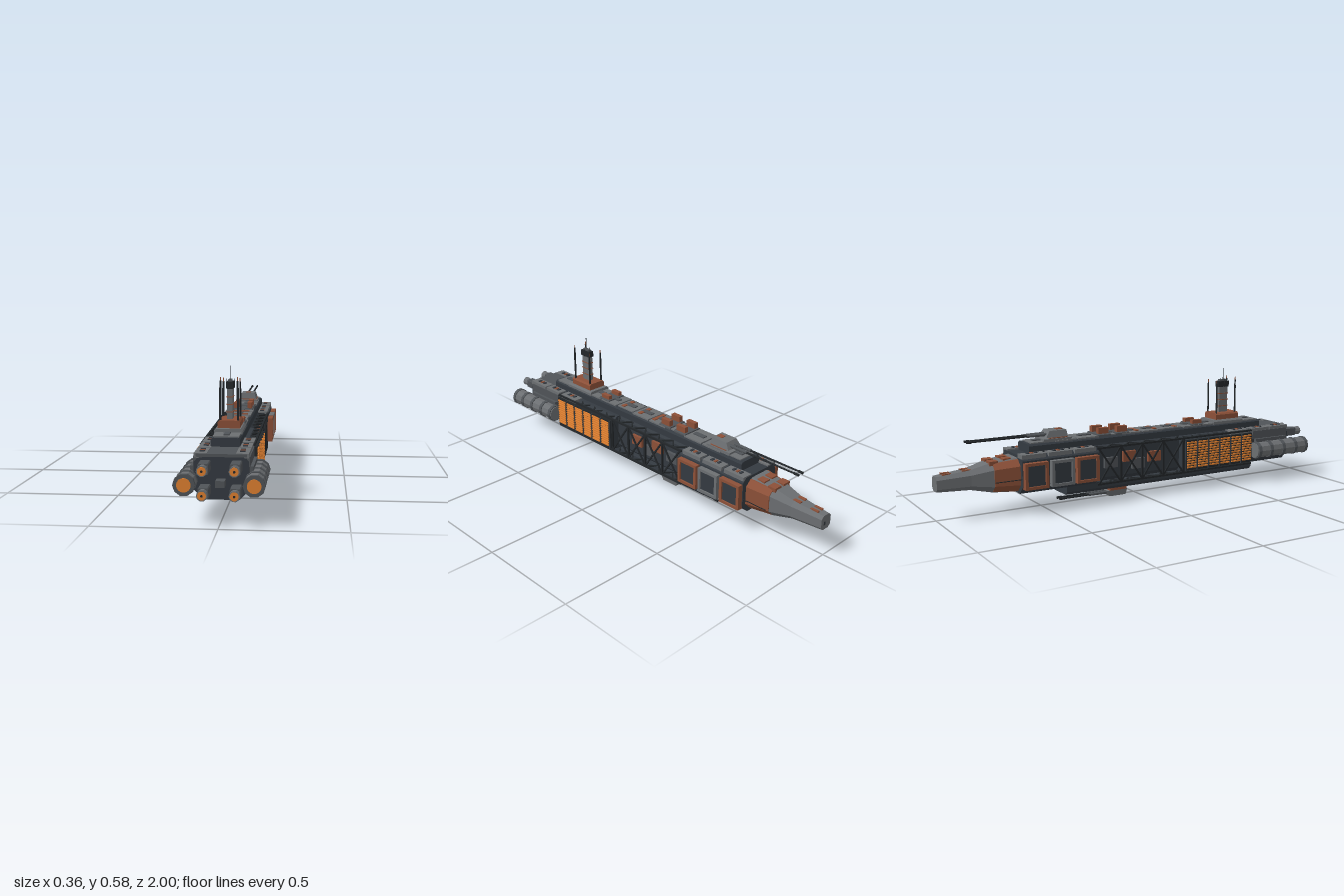
import * as THREE from 'three';

const mat = (color) => new THREE.MeshStandardMaterial({ color, flatShading: true, side: THREE.DoubleSide });
const DARK = mat(0x343a41), BLACK = mat(0x23272a), GREY = mat(0x6c6f72), MID = mat(0x505458);
const RUST = mat(0x8c5038), GLOW = mat(0xe08030);

function add(parent, name, geo, material, x = 0, y = 0, z = 0) {
  const m = new THREE.Mesh(geo, material);
  m.name = name;
  m.position.set(x, y, z);
  parent.add(m);
  return m;
}

// Box given by its extents
function box(parent, name, material, x0, x1, y0, y1, z0, z1) {
  const g = new THREE.BoxGeometry(Math.abs(x1 - x0), Math.abs(y1 - y0), Math.abs(z1 - z0));
  return add(parent, name, g, material, (x0 + x1) / 2, (y0 + y1) / 2, (z0 + z1) / 2);
}

// Cylinder lying along z
function tube(parent, name, material, r0, r1, x, y, z0, z1, sides = 8) {
  const g = new THREE.CylinderGeometry(r1, r0, z1 - z0, sides);
  g.rotateY(Math.PI / sides).rotateX(Math.PI / 2);
  return add(parent, name, g, material, x, y, (z0 + z1) / 2);
}

// Upright rod
function rod(parent, name, material, r, x, y0, y1, z) {
  return add(parent, name, new THREE.CylinderGeometry(r, r, y1 - y0, 6), material, x, (y0 + y1) / 2, z);
}

// Square beam between two points
function beam(parent, name, material, a, b, t = 0.007) {
  const p = new THREE.Vector3(...a), q = new THREE.Vector3(...b);
  const m = add(parent, name, new THREE.BoxGeometry(t, t, p.distanceTo(q)), material);
  m.position.copy(p).lerp(q, 0.5);
  m.lookAt(q);
  return m;
}

// Hull through chamfered sections [z, halfWidth, bottom, top, lowerCut, upperCut], from high z to low z
function loft(parent, name, material, sections) {
  const pos = [], idx = [];
  for (const [z, w, b, t, c, d] of sections) {
    for (const [x, y] of [[w - c, b], [w, b + c], [w, t - d], [w - d, t], [d - w, t], [-w, t - d], [-w, b + c], [c - w, b]]) pos.push(x, y, z);
  }
  const last = (sections.length - 1) * 8;
  for (let s = 0; s < last; s += 8) {
    for (let i = 0; i < 8; i++) {
      const j = (i + 1) % 8;
      idx.push(s + i, s + 8 + i, s + 8 + j, s + i, s + 8 + j, s + j);
    }
  }
  for (let i = 1; i < 7; i++) idx.push(0, i, i + 1, last, last + i + 1, last + i);
  const g = new THREE.BufferGeometry();
  g.setAttribute('position', new THREE.Float32BufferAttribute(pos, 3));
  g.setIndex(idx);
  return add(parent, name, g.toNonIndexed(), material).geometry.computeVertexNormals();
}

// Gun turret with twin barrels pointing to -z; flip = -1 hangs it upside down
function turret(parent, name, y, z, length, flip) {
  const t = new THREE.Group();
  t.name = name;
  t.position.set(0, y, z);
  box(t, 'turretRing', RUST, -0.045, 0.045, -0.012 * flip, 0.004 * flip, -0.04, 0.05);
  const g = new THREE.BoxGeometry(0.084, 0.03, 0.11), p = g.attributes.position;
  for (let i = 0; i < p.count; i++) {
    if (p.getY(i) * flip > 0) p.setXYZ(i, p.getX(i) * 0.8, p.getY(i), p.getZ(i) < 0 ? -0.035 : 0.05);
  }
  add(t, 'turretHouse', g, GREY, 0, 0.019 * flip, 0);
  box(t, 'turretHatch', RUST, -0.012, 0.012, 0.03 * flip, 0.037 * flip, 0.01, 0.04);
  for (const x of [-0.014, 0.014]) {
    tube(t, 'barrelSleeve', MID, 0.007, 0.008, x, 0.016 * flip, -0.14, -0.04);
    tube(t, 'barrel', BLACK, 0.004, 0.005, x, 0.016 * flip, -length, -0.1);
    tube(t, 'muzzle', BLACK, 0.006, 0.006, x, 0.016 * flip, -length, -length + 0.025);
  }
  parent.add(t);
}

export function createModel() {
  const ship = new THREE.Group();
  ship.name = 'ship';

  // Main hull: full at stern and bow, narrow core between the trusses
  loft(ship, 'sternHull', DARK, [[0.88, 0.108, 0.085, 0.265, 0.037, 0.03], [0.22, 0.108, 0.085, 0.265, 0.037, 0.03]]);
  loft(ship, 'coreHull', DARK, [[0.23, 0.07, 0.09, 0.265, 0.02, 0.01], [-0.25, 0.07, 0.09, 0.265, 0.02, 0.01]]);
  loft(ship, 'bowHull', DARK, [[-0.25, 0.11, 0.088, 0.262, 0.037, 0.02], [-0.635, 0.11, 0.088, 0.262, 0.037, 0.02]]);
  loft(ship, 'keel', DARK, [[0.67, 0.073, 0.048, 0.09, 0.015, 0.002], [-0.4, 0.073, 0.048, 0.09, 0.015, 0.002]]);
  loft(ship, 'dorsalSpine', DARK, [[0.73, 0.06, 0.26, 0.303, 0.002, 0.008], [-0.58, 0.06, 0.26, 0.303, 0.002, 0.008]]);

  // Tapered nose
  loft(ship, 'noseCollar', RUST, [[-0.63, 0.09, 0.096, 0.245, 0.035, 0.028], [-0.75, 0.072, 0.105, 0.234, 0.03, 0.025]]);
  loft(ship, 'nose', GREY, [[-0.63, 0.086, 0.094, 0.25, 0.036, 0.036], [-0.75, 0.068, 0.102, 0.238, 0.03, 0.03],
    [-0.85, 0.047, 0.124, 0.212, 0.02, 0.02], [-1, 0.032, 0.13, 0.198, 0.014, 0.014]]);
  box(ship, 'noseSensor', DARK, -0.014, 0.014, 0.15, 0.176, -0.999, -1);
  for (const [z, y, w] of [[-0.68, 0.246, 0.045], [-0.745, 0.24, 0.05], [-0.86, 0.21, 0.025], [-0.95, 0.203, 0.02]]) {
    for (const s of [-1, 1]) box(ship, 'nosePlate', RUST, s * 0.008, s * w, y - 0.015, y + 0.004, z - 0.02, z + 0.02);
  }

  // Deck plates along the spine with raised rust modules
  for (let i = 0; i < 11; i++) {
    const z = 0.715 - i * 0.117, w = i % 3 === 1 ? 0.047 : 0.054;
    box(ship, 'spinePlate', GREY, -w, w, 0.3, 0.308, z - 0.108, z);
    box(ship, 'spineRidge', MID, -0.012, 0.012, 0.306, 0.313, z - 0.085, z - 0.02);
  }
  for (const z of [0.345, -0.09, -0.19]) {
    for (const s of [-1, 1]) {
      loft(ship, 'deckModuleBase', MID, [[z + 0.036, 0.052, 0.3, 0.314, 0.002, 0.004], [z - 0.036, 0.052, 0.3, 0.314, 0.002, 0.004]]);
      box(ship, 'deckModule', RUST, s * 0.022, s * 0.044, 0.308, z > 0 ? 0.332 : 0.342, z - 0.027, z + 0.027);
    }
  }
  for (const z of [0.22, 0.1, 0]) box(ship, 'deckHatch', RUST, -0.038, 0.038, 0.3, 0.312, z - 0.01, z + 0.01);

  // Command tower
  loft(ship, 'towerFooting', GREY, [[0.62, 0.06, 0.3, 0.322, 0.002, 0.008], [0.44, 0.06, 0.3, 0.322, 0.002, 0.008]]);
  loft(ship, 'towerBase', RUST, [[0.6, 0.047, 0.32, 0.354, 0.001, 0.008], [0.46, 0.047, 0.32, 0.354, 0.001, 0.008]]);
  box(ship, 'tower', GREY, -0.012, 0.012, 0.35, 0.49, 0.505, 0.555);
  for (const y of [0.385, 0.417, 0.449]) box(ship, 'towerBand', RUST, -0.014, 0.014, y - 0.002, y + 0.002, 0.502, 0.558);
  box(ship, 'towerHead', BLACK, -0.014, 0.014, 0.483, 0.512, 0.498, 0.562);
  box(ship, 'towerCap', MID, -0.008, 0.008, 0.512, 0.521, 0.51, 0.55);
  rod(ship, 'towerAntenna', BLACK, 0.0015, 0, 0.52, 0.578, 0.535);
  for (const s of [-1, 1]) {
    rod(ship, 'headAntenna', BLACK, 0.0012, s * 0.018, 0.483, 0.523, 0.53);
    for (const [z, top] of [[0.585, 0.52], [0.47, 0.505]]) {
      rod(ship, 'mast', BLACK, 0.004, s * 0.036, 0.35, top, z);
      rod(ship, 'mastWire', BLACK, 0.0015, s * 0.041, 0.35, top - 0.03, z);
      rod(ship, 'mastTip', RUST, 0.002, s * 0.036, top, top + 0.015, z);
    }
  }

  turret(ship, 'upperTurret', 0.317, -0.43, 0.425, 1);
  box(ship, 'turretPlinth', GREY, -0.05, 0.05, 0.3, 0.317, -0.5, -0.36);
  turret(ship, 'lowerTurret', 0.036, -0.115, 0.295, -1);

  // Stern: four thrusters and a docking block
  box(ship, 'sternBlock', MID, -0.018, 0.018, 0.144, 0.17, 0.87, 0.93);
  for (const x of [-0.062, 0.062]) {
    for (const y of [0.126, 0.221]) {
      loft(ship, 'thrusterHousing', MID, [[0.96, 0.021, y - 0.021, y + 0.021, 0.004, 0.004], [0.87, 0.021, y - 0.021, y + 0.021, 0.004, 0.004]]);
      tube(ship, 'thrusterNozzle', GREY, 0.019, 0.022, x, y, 0.95, 0.995, 10);
      tube(ship, 'thrusterGlow', GLOW, 0.017, 0.017, x, y, 0.97, 0.998, 16);
      tube(ship, 'thrusterCore', BLACK, 0.005, 0.005, x, y, 0.97, 1, 10);
      ship.children.at(-4).position.x = x;
    }
  }

  for (const s of [-1, 1]) {
    const side = new THREE.Group();
    side.name = s > 0 ? 'leftSide' : 'rightSide';
    ship.add(side);

    // Main engine pod
    tube(side, 'enginePod', GREY, 0.039, 0.041, s * 0.135, 0.16, 0.64, 0.965, 10);
    for (const z of [0.645, 0.72, 0.8, 0.88, 0.95]) tube(side, 'podRib', MID, 0.044, 0.044, s * 0.135, 0.16, z, z + 0.018, 10);
    tube(side, 'podGlow', GLOW, 0.028, 0.028, s * 0.135, 0.16, 0.95, 0.971, 20);
    box(side, 'podBracket', MID, s * 0.09, s * 0.125, 0.135, 0.215, 0.66, 0.86);

    // Radiator wall of glowing slats
    box(side, 'radiatorBack', BLACK, s * 0.105, s * 0.122, 0.1, 0.25, 0.225, 0.635);
    for (let c = 0; c < 6; c++) {
      const z = 0.6 - c * 0.068;
      for (let r = 0; r < 11; r++) {
        const y = 0.116 + r * 0.0123;
        box(side, 'radiatorSlat', GLOW, s * 0.12, s * 0.129, y - 0.0035, y + 0.0035, z - 0.027, z + 0.027);
      }
      box(side, 'radiatorPost', DARK, s * 0.12, s * 0.127, 0.1, 0.25, z - 0.037, z - 0.031);
    }

    // Open truss with rails, posts, diagonals and cross ties
    for (const y of [0.09, 0.261]) beam(side, 'rail', BLACK, [s * 0.11, y, 0.64], [s * 0.11, y, -0.26], 0.009);
    for (let i = 0; i < 4; i++) {
      const z0 = 0.22 - i * 0.118, z1 = z0 - 0.118, x = s * 0.11;
      beam(side, 'post', BLACK, [x, 0.09, z0], [x, 0.261, z0], 0.009);
      beam(side, 'diagonal', BLACK, [x, 0.09, z0], [x, 0.261, z1]);
      beam(side, 'diagonal', BLACK, [x, 0.261, z0], [x, 0.09, z1]);
    }
    for (let i = 0; i < 8; i++) {
      const z0 = 0.5 - i * 0.094;
      for (const y of [0.09, 0.261]) {
        beam(side, 'tie', BLACK, [s * 0.06, y, z0], [s * 0.11, y, z0 - 0.047]);
        beam(side, 'tie', BLACK, [s * 0.11, y, z0 - 0.047], [s * 0.06, y, z0 - 0.094]);
      }
    }
    // Machinery behind the truss
    for (const [z, y, m] of [[0.07, 0.185, RUST], [-0.02, 0.16, MID], [-0.07, 0.2, RUST], [-0.17, 0.18, MID]]) {
      box(side, 'machinery', m, s * 0.065, s * 0.085, y - 0.025, y + 0.025, z - 0.035, z + 0.035);
    }

    // Framed cargo bays at the bow
    [-0.318, -0.445, -0.575].forEach((z, i) => {
      const frame = new THREE.Shape([[-0.057, -0.06], [0.057, -0.06], [0.057, 0.06], [-0.057, 0.06]].map((p) => new THREE.Vector2(...p)));
      frame.holes.push(new THREE.Path([[-0.043, -0.047], [-0.043, 0.047], [0.043, 0.047], [0.043, -0.047]].map((p) => new THREE.Vector2(...p))));
      const g = new THREE.ExtrudeGeometry(frame, { depth: 0.03, bevelEnabled: false }).rotateY(Math.PI / 2);
      add(side, 'bayFrame', g, i === 1 ? GREY : RUST, s > 0 ? 0.105 : -0.135, 0.174, z);
      box(side, 'bayDoor', DARK, s * 0.105, s * 0.127, 0.125, 0.223, z - 0.045, z + 0.045);
    });
    tube(side, 'bowProbe', BLACK, 0.002, 0.002, s * 0.105, 0.16, -0.76, -0.63, 6);

    // Roof armour beside the spine, each with a vent
    for (const [z0, z1] of [[-0.635, -0.52], [-0.505, -0.39], [-0.375, -0.265], [0.51, 0.625], [0.645, 0.75], [0.76, 0.88]]) {
      box(side, 'roofPlate', GREY, s * 0.057, s * 0.108, 0.25, 0.269, z0, z1);
      for (let k = 0; k < 3; k++) {
        const z = (z0 + z1) / 2 + (k - 1) * 0.02;
        box(side, 'roofVent', k === 1 ? RUST : DARK, s * 0.07, s * 0.09, 0.265, 0.273, z - 0.006, z + 0.006);
      }
    }
    box(side, 'sternRoof', MID, 0, s * 0.1, 0.255, 0.267, 0.64, 0.885);
    box(side, 'sternFlank', MID, s * 0.1, s * 0.112, 0.215, 0.255, 0.65, 0.87);
  }
  return ship;
}
